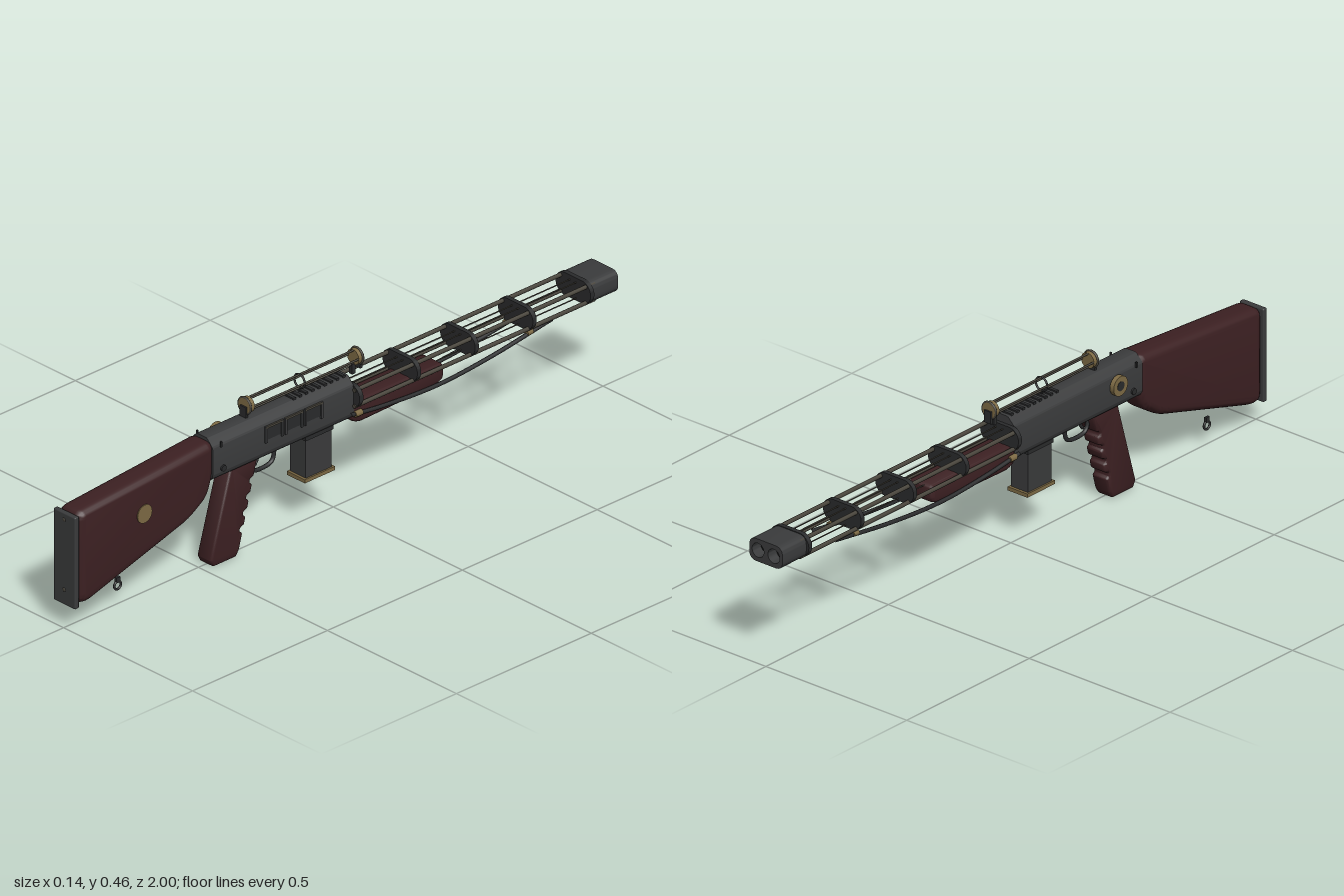
import * as THREE from 'three';
import { toCreasedNormals } from 'three/addons/utils/BufferGeometryUtils.js';
import { RoundedBoxGeometry } from 'three/addons/geometries/RoundedBoxGeometry.js';

const mat = (name, color) => Object.assign(new THREE.MeshStandardMaterial({ color }), { name });

export function createModel() {
  const wood = mat('dark red wood', 0x3c2022);
  const steel = mat('grey steel', 0x3a3b3c);
  const dark = mat('dark iron', 0x2a2b2c);
  const brass = mat('aged brass', 0x7d6a44);
  const rodMetal = mat('bronzed rod', 0x48443b);
  const black = mat('bore black', 0x141414);

  const root = new THREE.Group();
  const add = (name, geo, material, x = 0, y = 0, z = 0, parent = root) => {
    const m = new THREE.Mesh(geo, material);
    m.name = name;
    m.position.set(x, y, z);
    parent.add(m);
    return m;
  };
  const box = (name, material, w, h, d, x, y, z) =>
    add(name, new THREE.BoxGeometry(w, h, d), material, x, y, z);
  // Cylinders lying along z or x
  const rodZ = (name, material, r, z0, z1, x, y, seg = 10) =>
    add(name, new THREE.CylinderGeometry(r, r, Math.abs(z1 - z0), seg).rotateX(Math.PI / 2), material, x, y, (z0 + z1) / 2);
  const discX = (name, material, r, t, x, y, z) =>
    add(name, new THREE.CylinderGeometry(r, r, t, 32).rotateZ(Math.PI / 2), material, x, y, z);

  // Closed polygon with every corner softened by radius r
  const softShape = (pts, r) => {
    const s = new THREE.Shape();
    const v = pts.map((p) => new THREE.Vector2(...p));
    v.forEach((p, i) => {
      const a = v[(i + v.length - 1) % v.length], b = v[(i + 1) % v.length];
      const toward = (q) => p.clone().lerp(q, Math.min(0.45, r / p.distanceTo(q)));
      const p0 = toward(a), p1 = toward(b);
      if (i) s.lineTo(p0.x, p0.y); else s.moveTo(p0.x, p0.y);
      s.quadraticCurveTo(p.x, p.y, p1.x, p1.y);
    });
    s.closePath();
    return s;
  };
  // Side outline given as (z, y), extruded evenly across x
  const slab = (shape, width, bevel) => {
    const g = new THREE.ExtrudeGeometry(shape, {
      depth: width - 2 * bevel, bevelEnabled: bevel > 0, bevelSize: bevel, bevelThickness: bevel,
      bevelOffset: -bevel, bevelSegments: 5, curveSegments: 6,
    });
    g.translate(0, 0, -width / 2 + bevel).rotateY(-Math.PI / 2);
    return toCreasedNormals(g, 0.7);
  };
  // Front outline given as (x, y), extruded from z0 to z1
  const prism = (shape, z0, z1) =>
    toCreasedNormals(new THREE.ExtrudeGeometry(shape, { depth: z1 - z0, bevelEnabled: false, curveSegments: 12 }).translate(0, 0, z0), 0.6);
  const tube = (name, material, pts, r) =>
    add(name, new THREE.TubeGeometry(new THREE.CatmullRomCurve3(pts.map((p) => new THREE.Vector3(...p)), false, 'centripetal'), 32, r, 8), material);

  // Stock, butt plate and its screws
  add('stock', slab(softShape([[0.982, 0.352], [0.478, 0.39], [0.478, 0.285], [0.5, 0.225], [0.57, 0.18], [0.95, 0.07], [0.982, 0.08]], 0.025), 0.086, 0.024), wood);
  add('buttPlate', new RoundedBoxGeometry(0.085, 0.278, 0.016, 2, 0.004), steel, 0, 0.208, 0.99);
  for (const y of [0.327, 0.115]) add('buttScrew', new THREE.SphereGeometry(0.006, 12, 8).scale(1, 1, 0.4), rodMetal, 0, y, 0.9975);
  discX('stockMedallion', brass, 0.027, 0.006, 0.043, 0.268, 0.742);

  // Sling loop below the stock
  add('slingLoop', new THREE.TorusGeometry(0.012, 0.0035, 8, 20).rotateY(Math.PI / 2), dark, 0, 0.056, 0.8);
  box('slingStud', dark, 0.008, 0.016, 0.014, 0, 0.073, 0.8);

  // Grip with finger grooves down its front edge
  const front = (y) => 0.378 - 0.072 * (y / 0.27);
  const grip = [[0.405, 0.28], [0.48, 0.02], [0.47, 0], [0.385, 0], [front(0.02), 0.02]];
  for (const y of [0.075, 0.12, 0.165, 0.21])
    grip.push([front(y - 0.011), y - 0.011], [front(y) + 0.012, y - 0.006], [front(y) + 0.012, y + 0.006], [front(y + 0.011), y + 0.011]);
  grip.push([front(0.28), 0.28]);
  add('grip', slab(softShape(grip, 0.005), 0.056, 0.007), wood);
  add('gripCore', new RoundedBoxGeometry(0.048, 0.03, 0.08, 2, 0.008), wood, 0, 0.27, 0.36);

  // Receiver, a chamfered bar
  add('receiver', prism(softShape([[-0.02, 0.396], [-0.043, 0.372], [-0.043, 0.285], [-0.032, 0.27], [0.032, 0.27], [0.043, 0.285], [0.043, 0.372], [0.02, 0.396]], 0.006), -0.035, 0.488), steel);
  for (let i = 0; i < 9; i++) box('topRib', dark, 0.044, 0.008, 0.01, 0, 0.396, 0.165 - i * 0.023);
  // Side window frames on the left only
  for (let i = 0; i < 3; i++) {
    const z = 0.262 - i * 0.073;
    box('sidePanel', dark, 0.004, 0.034, 0.05, 0.043, 0.343, z);
    box('sidePanelTop', rodMetal, 0.008, 0.006, 0.066, 0.044, 0.365, z);
    for (const s of [-1, 1]) box('sidePanelPost', steel, 0.008, 0.05, 0.007, 0.044, 0.343, z + s * 0.03);
  }
  // Round dial on the right only
  discX('dial', brass, 0.029, 0.014, -0.053, 0.346, 0.38);
  discX('dialHub', dark, 0.014, 0.022, -0.05, 0.346, 0.38);
  for (const s of [-1, 1]) {
    box('receiverPin', dark, 0.005, 0.016, 0.005, s * 0.046, 0.376, 0.46);
    discX('receiverScrew', dark, 0.009, 0.008, s * 0.044, 0.3, 0.45);
  }

  // Trigger and guard
  tube('triggerGuard', dark, [[0, 0.275, 0.316], [0, 0.232, 0.31], [0, 0.219, 0.298], [0, 0.218, 0.24], [0, 0.228, 0.225], [0, 0.275, 0.217]], 0.006);
  tube('trigger', dark, [[0, 0.275, 0.285], [0, 0.25, 0.283], [0, 0.235, 0.292]], 0.005);

  // Magazine
  box('magazine', steel, 0.06, 0.135, 0.096, 0, 0.208, 0.083);
  box('magazineCollar', dark, 0.068, 0.014, 0.104, 0, 0.268, 0.083);
  box('magazineBase', brass, 0.07, 0.011, 0.112, 0, 0.141, 0.083);

  // Skeleton sight: brass end drums joined by thin rods
  for (const [z, s] of [[0.322, 1], [-0.082, -1]]) {
    rodZ('sightDrum', brass, 0.023, z - 0.009, z + 0.009, 0, 0.428, 32);
    add('sightRim', new THREE.TorusGeometry(0.0235, 0.0035, 8, 32), rodMetal, 0, 0.428, z + s * 0.006);
    box('sightFoot', dark, 0.024, 0.036, 0.008, 0, 0.41, z + s * 0.01);
  }
  for (let i = 0; i < 4; i++) {
    const a = (i * Math.PI) / 2;
    rodZ('sightRod', rodMetal, 0.003, -0.082, 0.322, 0.02 * Math.cos(a), 0.428 + 0.02 * Math.sin(a), 8);
  }
  add('sightRing', new THREE.TorusGeometry(0.02, 0.003, 8, 28), dark, 0, 0.428, 0.125);
  box('sightPost', dark, 0.006, 0.018, 0.006, 0, 0.4, 0.125);
  box('frontSightPost', dark, 0.012, 0.03, 0.012, 0, 0.395, -0.07);

  // Forearm under the barrel cage
  add('forearm', slab(softShape([[-0.03, 0.316], [-0.03, 0.262], [-0.06, 0.25], [-0.34, 0.256], [-0.372, 0.27], [-0.372, 0.316]], 0.012), 0.086, 0.012), wood);

  // Barrel cage: oval spacer plates, corner rods and thin wires
  const plate = new THREE.Shape();
  plate.absarc(0.034, 0, 0.034, -Math.PI / 2, Math.PI / 2);
  plate.absarc(-0.034, 0, 0.034, Math.PI / 2, Math.PI * 1.5);
  plate.closePath();
  const plateGeo = prism(plate, -0.007, 0.007);
  for (let i = 0; i < 5; i++) add('cagePlate', plateGeo, dark, 0, 0.339, -0.04 - i * 0.214);
  for (const y of [0.36, 0.312]) {
    for (const s of [-1, 1]) {
      rodZ('cageRod', rodMetal, 0.006, -0.03, -0.92, s * 0.049, y);
      rodZ('cageWire', rodMetal, 0.002, -0.03, -0.9, s * 0.012, y, 6);
    }
  }

  // Bowed rods beneath the cage with brass collars
  for (const s of [-1, 1]) {
    tube('bowRod', dark, [[s * 0.046, 0.288, -0.02], [s * 0.047, 0.274, -0.14], [s * 0.046, 0.262, -0.34], [s * 0.044, 0.274, -0.54], [s * 0.042, 0.304, -0.77]], 0.006);
    rodZ('bowCollar', brass, 0.009, -0.035, -0.06, s * 0.046, 0.285, 12);
    rodZ('bowTip', brass, 0.008, -0.675, -0.695, s * 0.043, 0.296, 12);
  }

  // Muzzle block with two bores
  const muzzle = softShape([[-0.059, 0.304], [0.059, 0.304], [0.059, 0.371], [-0.059, 0.371]], 0.026);
  for (const s of [-1, 1]) {
    muzzle.holes.push(new THREE.Path().absarc(s * 0.028, 0.3375, 0.021, 0, Math.PI * 2, true));
    rodZ('boreFloor', black, 0.0215, -0.9, -0.965, s * 0.028, 0.3375, 24);
  }
  add('muzzle', prism(muzzle, -1, -0.89), steel);

  return root;
}
